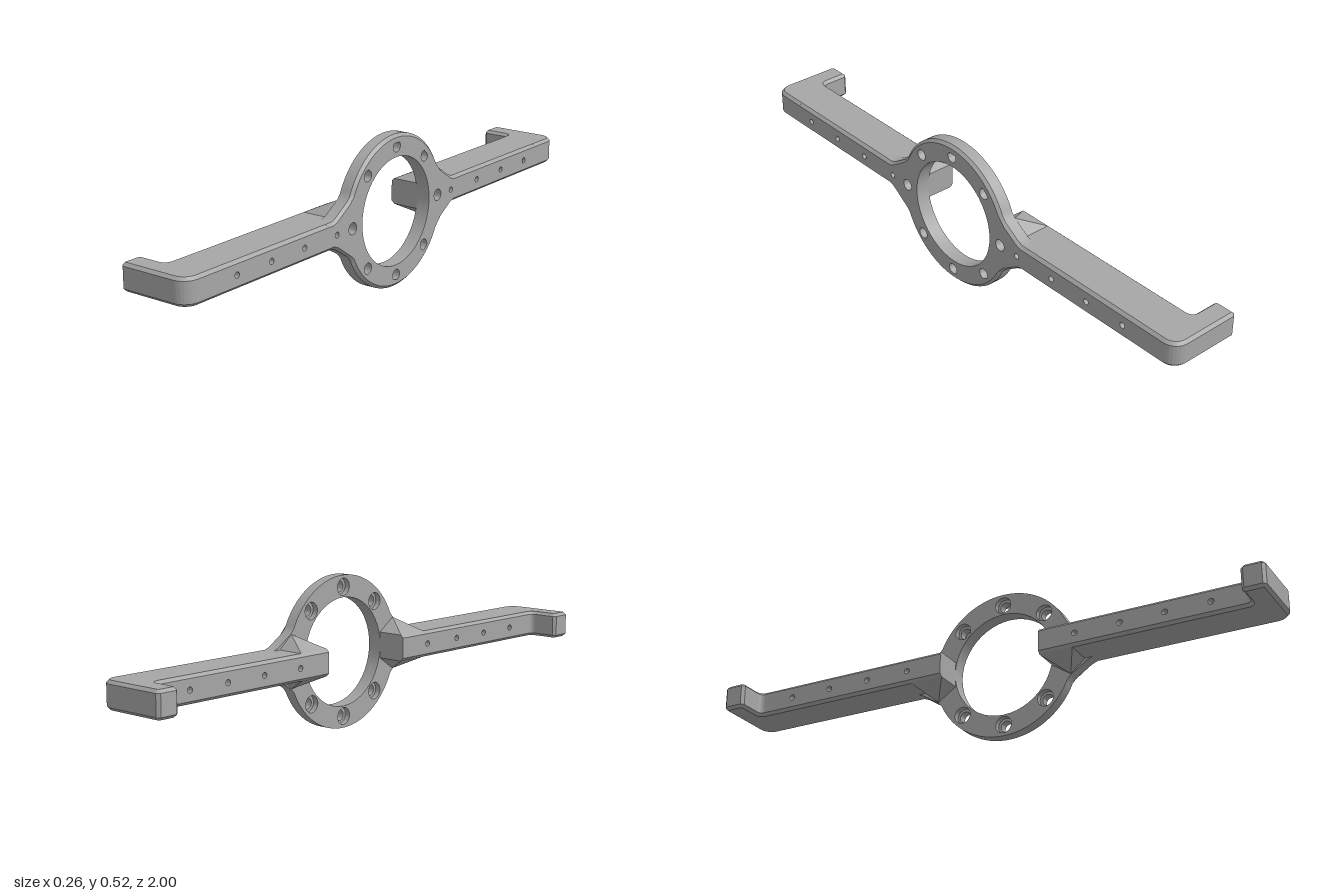
import * as THREE from 'three';
import { toCreasedNormals } from 'three/addons/utils/BufferGeometryUtils.js';
import { ConvexGeometry } from 'three/addons/geometries/ConvexGeometry.js';

const CENTRE_Y = 0.262, HALF = 0.045, CHAMFER = 0.01;
const BACK = 0.08, FRONT = 0.13, ARM_BACK = -0.025;
const SMALL_HOLES = [0.315, 0.475, 0.63, 0.785];

function addHole(shape, u, v, r) {
  const hole = new THREE.Path();
  hole.absarc(u, v, r, 0, Math.PI * 2, true);
  shape.holes.push(hole);
}

// Extrudes a (-z, y) shape along x from x0 to x1; nudge reshapes the layers for chamfers
function extrudeX(shape, x0, x1, steps, curveSegments, nudge) {
  const geo = new THREE.ExtrudeGeometry(shape, { depth: x1 - x0, steps, bevelEnabled: false, curveSegments });
  if (nudge) {
    const p = geo.attributes.position, v = new THREE.Vector3();
    for (let i = 0; i < p.count; i++) {
      nudge(v.fromBufferAttribute(p, i), x1 - x0);
      p.setXYZ(i, v.x, v.y, v.z);
    }
  }
  geo.rotateY(Math.PI / 2).translate(x0, 0, 0);
  return toCreasedNormals(geo, 0.5);
}

// Ring outline with a flared neck on each side
function plateOutline() {
  const neck = [[0.36, HALF], [0.33, HALF], [0.31, 0.053], [0.25, 0.092], [0.237, 0.107]];
  const a = Math.atan2(0.107, 0.237);
  const s = new THREE.Shape();
  s.moveTo(0.36, -HALF);
  neck.forEach(([u, v]) => s.lineTo(u, v));
  s.absarc(0, 0, 0.26, a, Math.PI - a, false);
  [...neck].reverse().forEach(([u, v]) => s.lineTo(-u, v));
  neck.forEach(([u, v]) => s.lineTo(-u, -v));
  s.absarc(0, 0, 0.26, Math.PI + a, Math.PI * 2 - a, false);
  [...neck].reverse().slice(0, -1).forEach(([u, v]) => s.lineTo(u, -v));
  addHole(s, 0, 0, 0.185);
  for (const side of [-1, 1]) addHole(s, side * SMALL_HOLES[0], 0, 0.01);
  return s;
}

function addBoltHoles(shape, r) {
  for (let i = 0; i < 8; i++) {
    if (i % 4 === 0) continue;
    const t = i * Math.PI / 4;
    addHole(shape, 0.22 * Math.cos(t), 0.22 * Math.sin(t), r);
  }
}

// Chamfers the outer rim of the plate's front face
function chamferRim(v, depth) {
  const r = Math.hypot(v.x, v.y);
  if (v.z < depth - 1e-4 || r < 0.257 || Math.abs(v.y) < 0.03 && Math.abs(v.x) < 0.355) return;
  if (Math.abs(v.x) > 0.24) v.y -= Math.sign(v.y) * CHAMFER;
  else { v.x *= 1 - CHAMFER / r; v.y *= 1 - CHAMFER / r; }
}

// Chamfers the four long edges of an arm
function chamferBar(v, depth) {
  const end = v.z < 1e-4 || v.z > depth - 1e-4;
  if (end && Math.abs(v.y) > HALF - 1e-4) v.y = Math.sign(v.y) * (HALF - CHAMFER);
}

function barGeometry() {
  const s = new THREE.Shape();
  s.moveTo(-0.89, -HALF);
  s.lineTo(-0.27, -HALF);
  s.lineTo(-0.27, HALF);
  s.lineTo(-0.89, HALF);
  s.closePath();
  SMALL_HOLES.forEach(z => addHole(s, -z, 0, 0.01));
  return extrudeX(s, ARM_BACK, FRONT, 15, 10, chamferBar);
}

// Arm tip that turns back into a hook
function hookGeometry() {
  const s = new THREE.Shape();
  s.moveTo(ARM_BACK, 0.85);
  s.lineTo(FRONT, 0.85);
  s.lineTo(FRONT, 0.95);
  s.absarc(FRONT - 0.05, 0.95, 0.05, 0, Math.PI / 2, false);
  s.lineTo(-0.12, 1);
  s.lineTo(-0.13, 0.99);
  s.lineTo(-0.13, 0.93);
  s.lineTo(-0.12, 0.92);
  s.lineTo(-0.045, 0.92);
  s.quadraticCurveTo(ARM_BACK, 0.92, ARM_BACK, 0.9);
  s.closePath();
  const geo = new THREE.ExtrudeGeometry(s, {
    depth: 2 * (HALF - CHAMFER), bevelEnabled: true, bevelSegments: 1,
    bevelSize: CHAMFER, bevelThickness: CHAMFER, bevelOffset: -CHAMFER, curveSegments: 10,
  });
  geo.translate(0, 0, -(HALF - CHAMFER)).rotateX(Math.PI / 2);
  return toCreasedNormals(geo, 0.5);
}

// Faceted block joining an arm to the back of the ring
function gussetGeometry() {
  const pts = [];
  for (const s of [-1, 1]) {
    for (const z of [0.184, 0.302]) {
      pts.push(new THREE.Vector3(ARM_BACK, s * (HALF - CHAMFER), z));
      pts.push(new THREE.Vector3(ARM_BACK + CHAMFER, s * HALF, z));
      pts.push(new THREE.Vector3(BACK + 0.005, s * HALF, z));
    }
    pts.push(new THREE.Vector3(BACK, s * 0.09, 0.25));
  }
  return new ConvexGeometry(pts);
}

export function createModel() {
  const grey = new THREE.MeshStandardMaterial({ color: 0xa6a6a6 });
  grey.name = 'grey';
  const model = new THREE.Group();
  model.name = 'ringBracket';
  const body = new THREE.Group();
  body.name = 'body';
  body.position.y = CENTRE_Y;
  model.add(body);

  const add = (parent, name, geo) => {
    const mesh = new THREE.Mesh(geo, grey);
    mesh.name = name;
    parent.add(mesh);
  };

  // Ring plate: wide counterbores behind, narrow bolt holes in front
  const backShape = plateOutline();
  addBoltHoles(backShape, 0.029);
  add(body, 'ringBack', extrudeX(backShape, BACK, 0.1, 1, 24));
  const frontShape = plateOutline();
  addBoltHoles(frontShape, 0.019);
  for (const side of [-1, 1]) addHole(frontShape, side * 0.235, 0, 0.02);
  add(body, 'ringFront', extrudeX(frontShape, 0.1, FRONT, 3, 24, chamferRim));

  // Two arms, the second turned half a revolution about x
  const parts = { armBar: barGeometry(), armHook: hookGeometry(), armGusset: gussetGeometry() };
  ['frontArm', 'backArm'].forEach((name, i) => {
    const arm = new THREE.Group();
    arm.name = name;
    arm.rotation.x = i * Math.PI;
    for (const [part, geo] of Object.entries(parts)) add(arm, part, geo);
    body.add(arm);
  });
  return model;
}
